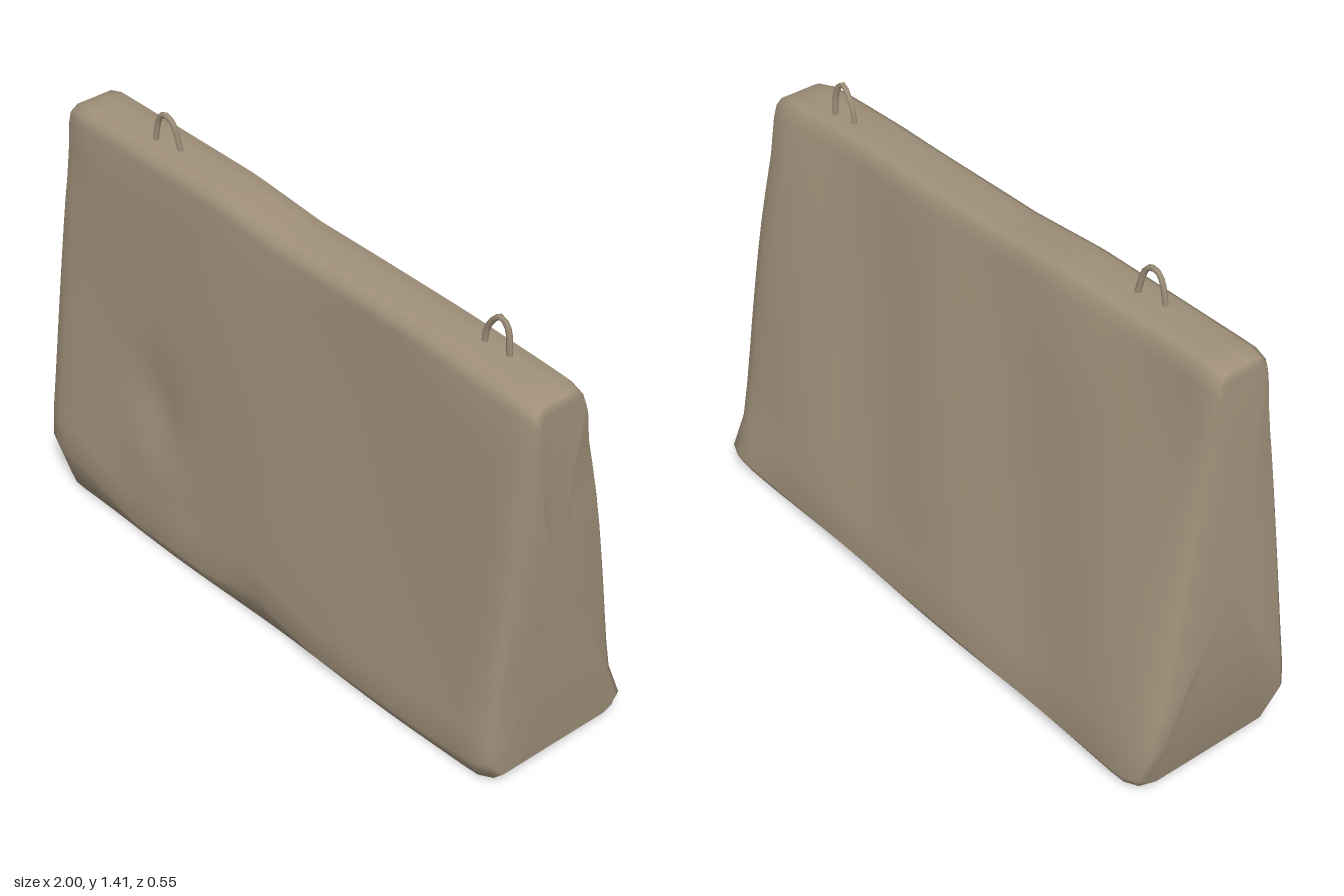
import * as THREE from 'three';

const lerp = THREE.MathUtils.lerp;
const bump = (d, w) => Math.exp(-(d * d) / (w * w));

// Piecewise linear lookup through [x, value] points
function along(points, x) {
  if (x <= points[0][0]) return points[0][1];
  for (let i = 1; i < points.length; i++) {
    const [x0, v0] = points[i - 1], [x1, v1] = points[i];
    if (x <= x1) return lerp(v0, v1, (x - x0) / (x1 - x0));
  }
  return points[points.length - 1][1];
}

// Worn outlines: sloping top edge and uneven end faces
const topHeight = [[-0.95, 1.32], [-0.3, 1.307], [0, 1.28], [0.6, 1.265], [1, 1.238]];
const leftEnd = [[0, -0.945], [0.16, -1], [0.25, -1], [0.8, -0.965], [1.32, -0.935]];
const rightEnd = [[0, 0.965], [0.06, 0.98], [0.12, 0.965], [0.5, 0.98], [0.8, 0.988],
  [1.08, 0.985], [1.13, 1], [1.2, 1], [1.25, 0.985]];
// Height of the chipped lower front edge
const chipHeight = [[-1, 0.15], [-0.85, 0.14], [-0.6, 0.06], [-0.25, 0.055], [0, 0.115],
  [0.25, 0.05], [0.7, 0.055], [1, 0.08]];

// Cross-section [z, y] up the front, over the top, down the back, under the base
function crossSection(x) {
  const H = along(topHeight, x), c = along(chipHeight, x);
  const corners = [
    [0.245, 0.008, 1], [0.272, c, 12], [0.174, H - 0.045, 1], [0.165, H - 0.015, 1],
    [0.14, H, 3], [0.008, H, 1], [-0.01, H - 0.02, 1], [-0.022, H - 0.06, 10],
    [-0.272, 0.055, 1], [-0.255, 0.025, 1], [-0.22, 0.008, 4],
  ];
  const out = [];
  corners.forEach(([z, y, n], i) => {
    const [z1, y1] = corners[(i + 1) % corners.length];
    for (let k = 0; k < n; k++) out.push([lerp(z, z1, k / n), lerp(y, y1, k / n)]);
  });
  return out;
}

// Uneven casting on both long faces, and a gouge in the front
function weathered(x, y, z) {
  const mid = Math.min(1, y / 0.2) * Math.min(1, Math.max(0, (1.3 - y) / 0.2));
  if (z > 0.08 + 0.05 * (1 - y)) {
    z += mid * 0.006 * (Math.sin(5 * x + 3 * y) + Math.sin(8 * x - 5 * y + 1));
    z -= 0.03 * bump(x + 0.48, 0.1) * bump(y - 0.49, y > 0.49 ? 0.12 : 0.05);
    z += 0.012 * bump(x + 0.47, 0.12) * bump(y - 0.3, 0.14);
    z -= 0.012 * bump(x + 0.88, 0.05) * bump(y - 1.12, 0.05);
  } else if (y > 0.1) {
    z += mid * 0.008 * (Math.sin(6 * x + 4 * y + 2) + Math.sin(9 * x - 3 * y));
  }
  if (y < 0.04) y += 0.005 * Math.sin(7 * x + 4 * z);
  return [y, z];
}

function blockGeometry() {
  // Stations as [position, depth scale, height scale]; the last ones close the ends
  const start = [[-1, 0.45, 0.5], [-1, 0.84, 0.965], [-0.985, 0.93, 0.985], [-0.94, 0.99, 1]];
  const stations = [...start];
  for (let i = 1; i < 36; i++) stations.push([lerp(-0.94, 0.94, i / 36), 1, 1]);
  stations.push(...start.map(([s, a, b]) => [-s, a, b]).reverse());

  const pos = [], index = [];
  const place = (s, y) => (s < 0 ? -s * along(leftEnd, y) : s * along(rightEnd, y));
  let n = 0;
  for (const [s, kz, ky] of stations) {
    const section = crossSection(s);
    n = section.length;
    for (const [z0, y0] of section) {
      const zc = 0.06 * y0;
      let y = lerp(0.62, y0, ky), z = zc + (z0 - zc) * kz;
      const x = place(s, y);
      [y, z] = weathered(x, y, z);
      pos.push(x, y, z);
    }
  }
  for (let r = 0; r < stations.length - 1; r++) {
    for (let i = 0; i < n; i++) {
      const j = (i + 1) % n, a = r * n + i, b = r * n + j;
      index.push(a, a + n, b, a + n, b + n, b);
    }
  }
  // End centres
  const last = (stations.length - 1) * n, centre = stations.length * n;
  pos.push(place(-1, 0.62), 0.62, 0.04, place(1, 0.62), 0.62, 0.04);
  for (let i = 0; i < n; i++) {
    const j = (i + 1) % n;
    index.push(centre, i, j, centre + 1, last + j, last + i);
  }
  const g = new THREE.BufferGeometry();
  g.setAttribute('position', new THREE.Float32BufferAttribute(pos, 3));
  g.setIndex(index);
  g.computeVertexNormals();
  return g;
}

// Bent bar cast into the top
function liftingLoop(points, material, name) {
  const path = new THREE.CatmullRomCurve3(points.map((p) => new THREE.Vector3(...p)), false, 'centripetal');
  const mesh = new THREE.Mesh(new THREE.TubeGeometry(path, 16, 0.009, 6), material);
  mesh.name = name;
  return mesh;
}

export function createModel() {
  const concrete = new THREE.MeshStandardMaterial({ color: 0xa0907a });
  concrete.name = 'weathered concrete';

  const group = new THREE.Group();
  group.name = 'concreteBarrier';
  const block = new THREE.Mesh(blockGeometry(), concrete);
  block.name = 'barrierBlock';
  group.add(block);

  group.add(liftingLoop([[-0.61, 1.28, 0.1], [-0.59, 1.385, 0.097], [-0.567, 1.407, 0.096],
    [-0.535, 1.395, 0.094], [-0.505, 1.28, 0.083]], concrete, 'rightLiftingLoop'));
  group.add(liftingLoop([[0.69, 1.23, 0.06], [0.7, 1.305, 0.06], [0.75, 1.36, 0.064],
    [0.77, 1.335, 0.058], [0.778, 1.22, 0.054]], concrete, 'leftLiftingLoop'));
  return group;
}
